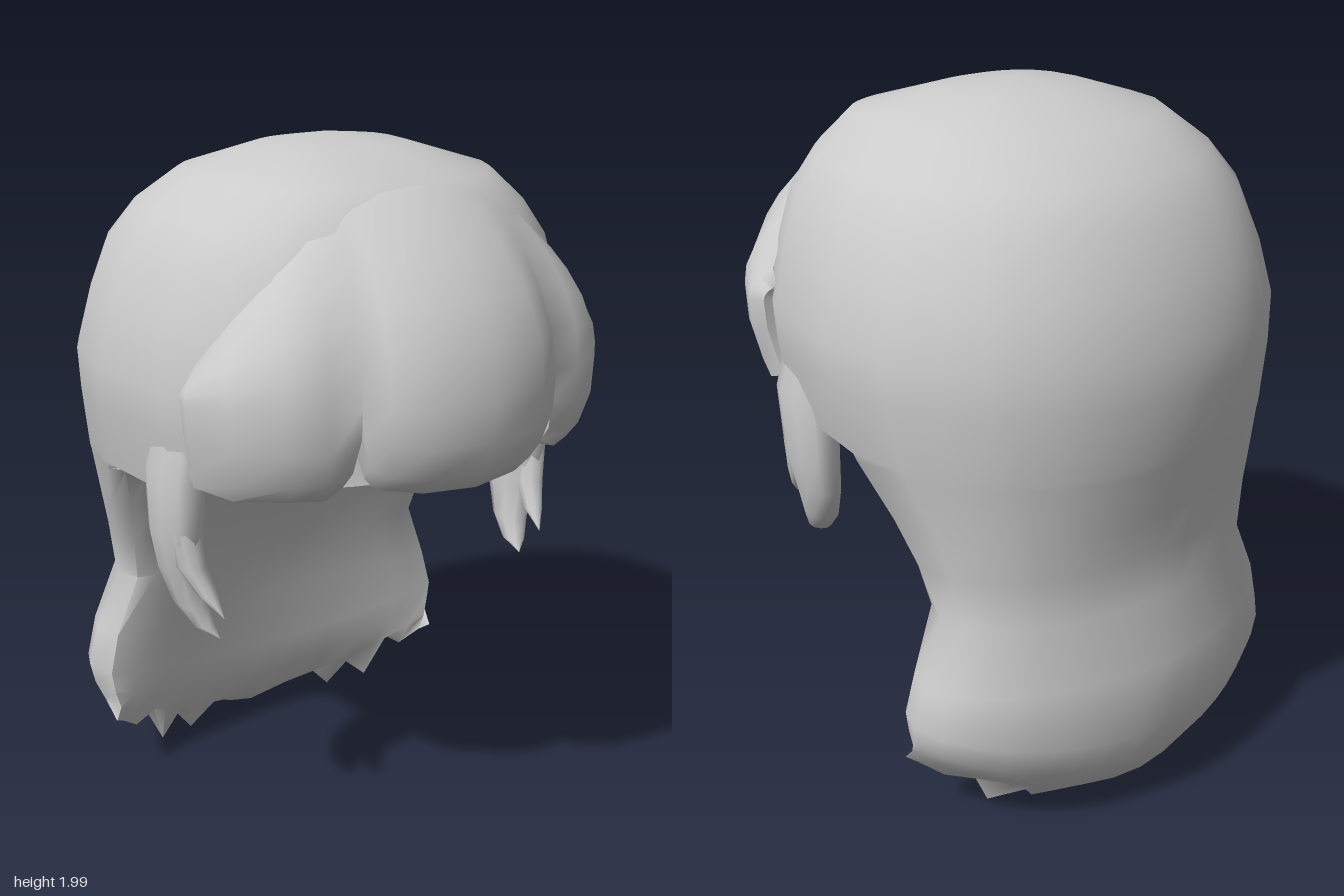
import * as THREE from 'three';
import { toCreasedNormals } from 'three/addons/utils/BufferGeometryUtils.js';

const material = new THREE.MeshStandardMaterial({ color: 0xcccccc, side: THREE.DoubleSide });

// Skin rows of points, listed top to bottom and left to right across the front.
function loft(name, rows, closed, crease) {
  const n = rows[0].length;
  const position = [];
  const tri = (a, b, c) => {
    const [p, q, r] = [a, b, c].map((v) => new THREE.Vector3(...v));
    if (q.sub(p).cross(r.sub(p)).length() > 1e-9) position.push(...a, ...b, ...c);
  };
  for (let j = 0; j < rows.length - 1; j++) {
    for (let i = 0; i < (closed ? n : n - 1); i++) {
      const k = (i + 1) % n;
      const a = rows[j][i], b = rows[j][k], c = rows[j + 1][k], d = rows[j + 1][i];
      tri(a, d, b);
      tri(b, d, c);
    }
  }
  const geometry = new THREE.BufferGeometry();
  geometry.setAttribute('position', new THREE.Float32BufferAttribute(position, 3));
  const mesh = new THREE.Mesh(toCreasedNormals(geometry, crease), material);
  mesh.name = name;
  return mesh;
}

// Crown and long back hair: one closed skin of rings, each a front half and a back half.
const half = [0.16, 0.33, 0.45, 0.55, 0.66, 0.73, 0.85, 0.95, 1];
const fractions = [...half.map((f) => -f).reverse(), 0, ...half];
const hem = [0.01, 0.04, 0.1, 0.02, 0.1, 0.04, 0.2, 0.15, 0.2, 0.22];
const jaggedHem = (f) => hem[[0, ...half].indexOf(Math.abs(f))];
const smoothHem = (f) => 0.01 + 0.22 * f * f;
const arc = (f, p) => Math.pow(Math.max(0, 1 - Math.pow(Math.abs(f), p)), 1 / p);

// [half width, z of widest point, back z, front z, front roundness, front hollow, back roundness]
function ring([w, zc, zb, zf, p = 2.6, hollow = 0, bp = 2.1], heightAt) {
  const front = fractions.map((f) => [
    f * w, heightAt(f), zc + (zf - zc) * arc(f, p) - hollow * (1 - f * f),
  ]);
  const back = fractions.slice(1, -1).reverse().map((f) => [
    f * w, heightAt(f), zc + (zb - zc) * arc(f, bp),
  ]);
  return [...front, ...back];
}

// Each level starts with its height
const domeLevels = [
  [2.0, 0, -0.04, -0.04, -0.04],
  [1.975, 0.21, -0.04, -0.2, 0.16],
  [1.91, 0.42, -0.04, -0.4, 0.38],
  [1.82, 0.525, -0.06, -0.545, 0.45],
  [1.72, 0.6, -0.08, -0.62, 0.5],
  [1.57, 0.647, -0.1, -0.69, 0.54],
  [1.42, 0.686, -0.11, -0.73, 0.55],
  [1.3, 0.678, -0.115, -0.735, 0.55],
];
const backLevels = [
  [1.1, 0.642, -0.175, -0.713, -0.11, 4, 0.02],
  [0.95, 0.595, -0.27, -0.685, -0.17, 4, 0.03],
  [0.82, 0.56, -0.33, -0.662, -0.23, 4, 0.04],
  [0.68, 0.535, -0.38, -0.665, -0.26, 4, 0.05, 1.9],
  [0.5, 0.608, -0.4, -0.712, -0.28, 5, 0.07, 1.8],
];
// Height given as a share of the way from 0.5 down to the hem
const hemLevels = [
  [0.42, 0.64, -0.4, -0.716, -0.28, 6, 0.09, 1.8],
  [0.65, 0.63, -0.39, -0.68, -0.28, 6, 0.11, 1.8],
  [0.84, 0.615, -0.35, -0.62, -0.28, 6, 0.15, 1.7],
];
// Hollow for the head: [height, half width, front z, squareness]
const hollowLevels = [
  [1.19, 0.57, 0.53, 2.6],
  [1.6, 0.56, 0.45, 2.6],
  [1.68, 0.56, -0.1, 20],
  [1.1, 0.56, -0.1, 20],
];
const rim = ring([0.648, -0.168, -0.717, 0.58], (f) => (Math.abs(f) > 0.9 ? 1.12 : 1.2));
const rimBack = rim.slice(fractions.length).map(([x, , z]) => [x, 1.12, z]);
const rimFront = rim.slice(0, fractions.length);
const crownRings = [
  ...domeLevels.map(([y, ...l]) => ring(l, () => y)),
  [...rimFront, ...rimBack],
  ...hollowLevels.map(([y, w, zf, p]) => [
    ...fractions.map((f, i) => (Math.abs(f) === 1
      ? rimFront[i]
      : [f * w, y, -0.16 + (zf + 0.16) * arc(f, p)])),
    ...rimBack,
  ]),
  ...backLevels.map(([y, ...l]) => ring(l, () => y)),
  ...hemLevels.map(([t, ...l]) => ring(l, (f) => 0.5 - t * (0.5 - smoothHem(f)))),
  ring([0.605, -0.3, -0.52, -0.52, 1.25, 0, 1.25], jaggedHem),
];

// Fringe columns: [root x, widest x, hem x,  root y, root z, widest z, hem y]
const fringeHalf = [
  [0.12, 0.18, 0.15, 1.9, 0.38, 0.705, 1.18],
  [0.2, 0.265, 0.235, 1.88, 0.375, 0.65, 1.19],
  [0.25, 0.307, 0.265, 1.86, 0.375, 0.592, 1.2],
  [0.25, 0.307, 0.307, 1.86, 0.375, 0.592, 1.4], // notch between the locks
  [0.25, 0.307, 0.328, 1.86, 0.375, 0.592, 1.2],
  [0.33, 0.4, 0.38, 1.82, 0.37, 0.59, 1.175],
  [0.42, 0.5, 0.46, 1.745, 0.36, 0.545, 1.175],
  [0.52, 0.6, 0.565, 1.62, 0.32, 0.44, 1.17],
  [0.6, 0.655, 0.62, 1.5, 0.275, 0.32, 1.185],
  [0.605, 0.64, 0.605, 1.46, 0.25, 0.265, 1.2],
  [0.57, 0.56, 0.54, 1.45, 0.24, 0.25, 1.22],
];
const fringeColumns = [
  ...fringeHalf.map(([a, b, c, ...rest]) => [-a, -b, -c, ...rest]).reverse(),
  [0, 0, 0, 1.91, 0.385, 0.735, 1.175],
  ...fringeHalf,
];
function fringe() {
  const wideY = 1.42;
  const rows = [];
  // Bulge from the root out to the widest height
  for (let k = 0; k <= 6; k++) {
    const t = (k / 6) * Math.PI / 2;
    const out = Math.pow(Math.sin(t), 1.85), down = 1 - Math.cos(t);
    rows.push(fringeColumns.map(([rx, wx, , y, z, wz]) => [
      rx + (wx - rx) * out, y + (wideY - y) * down, z + (wz - z) * out,
    ]));
  }
  // Curl under at the hem and back to the crown: [share of hem x, x scale, rise, z scale]
  const curl = [[0.15, 1, 0.14, 1], [0.7, 1, 0.05, 0.965], [1, 1, 0, 0.9], [1, 0.95, 0, 0.84], [1, 0.92, 0.02, 0.79]];
  for (const [share, sx, rise, sz] of curl) {
    rows.push(fringeColumns.map(([, wx, hx, , , wz, hy]) => [
      (wx + (hx - wx) * share) * sx, Math.min(wideY, hy + rise), wz * sz,
    ]));
  }
  return loft('fringe', rows, false, 1.0);
}

// Side lock sections: [centre x, y, z, radius x, radius z]
const mainLock = [
  [0.56, 1.38, 0.13, 0.055, 0.1],
  [0.596, 1.18, 0.137, 0.066, 0.12],
  [0.595, 1.0, 0.13, 0.062, 0.108],
  [0.585, 0.9, 0.125, 0.054, 0.088],
  [0.567, 0.8, 0.145, 0.044, 0.062],
  [0.55, 0.74, 0.185, 0.03, 0.04],
  [0.53, 0.71, 0.24, 0, 0],
];
const smallLock = [
  [0.6, 1.03, 0.185, 0.045, 0.05],
  [0.59, 0.93, 0.2, 0.04, 0.045],
  [0.568, 0.855, 0.25, 0.026, 0.03],
  [0.55, 0.8, 0.305, 0, 0],
];
function lock(name, sections, side) {
  const sides = 10;
  const rows = sections.map(([x, y, z, rx, rz]) => Array.from({ length: sides }, (_, i) => {
    const a = (i / sides) * Math.PI * 2;
    return [side * x + rx * Math.sin(a), y, z + rz * Math.cos(a)];
  }));
  return loft(name, rows, true, 1.2);
}

export function createModel() {
  const hair = new THREE.Group();
  hair.name = 'hair';
  hair.add(loft('crownAndBackHair', crownRings, true, 1.1), fringe());
  for (const [label, side] of [['left', 1], ['right', -1]]) {
    hair.add(lock(label + 'SideLock', mainLock, side), lock(label + 'SmallLock', smallLock, side));
  }
  return hair;
}
